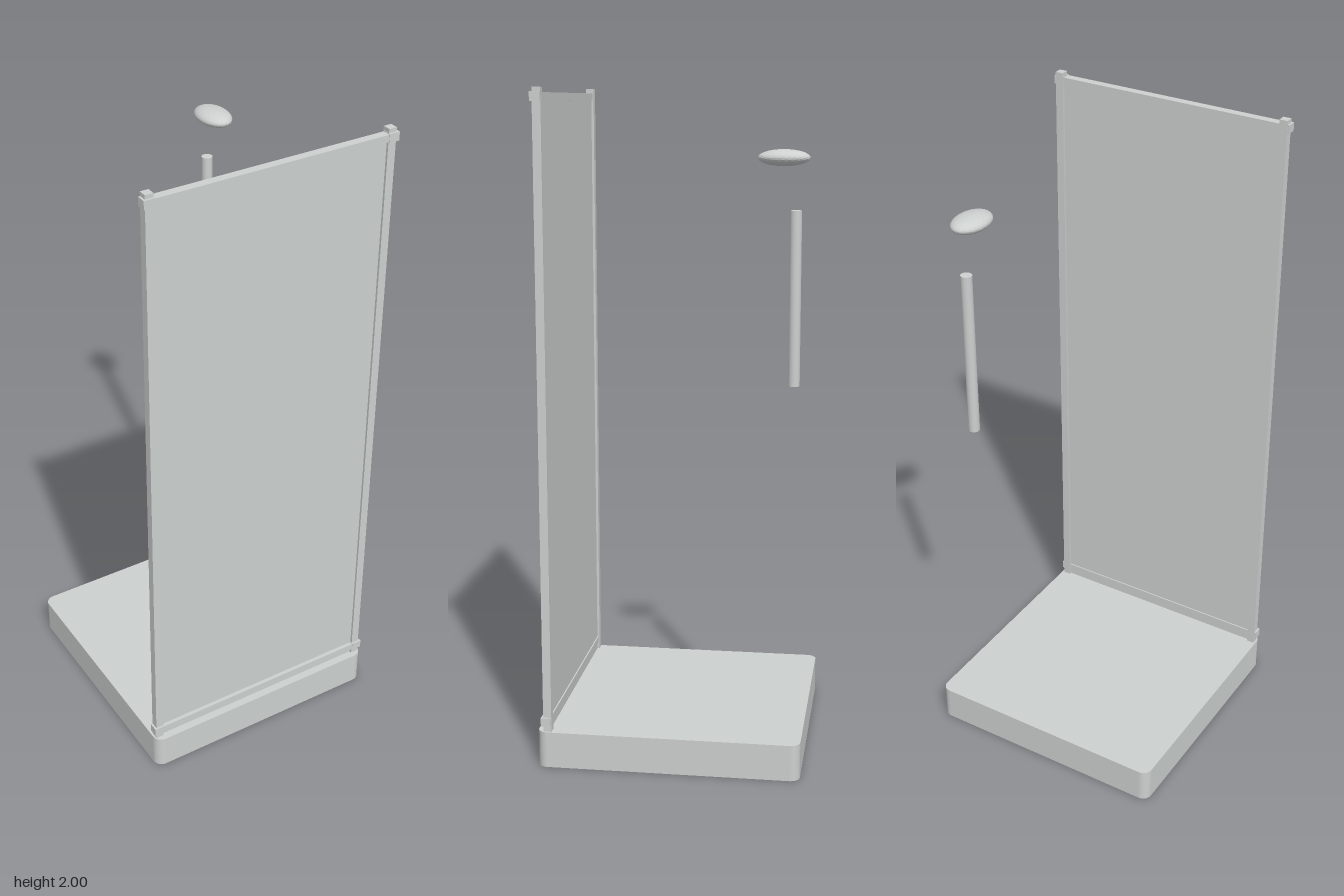
import * as THREE from 'three';

export function createModel() {
  const model = new THREE.Group();
  const grey = new THREE.MeshStandardMaterial({ color: 0xccd0ce });
  grey.name = 'pale grey';
  const facetedGrey = grey;

  const add = (name, geometry, x, y, z) => {
    const mesh = new THREE.Mesh(geometry, facetedGrey);
    mesh.name = name;
    mesh.position.set(x, y, z);
    model.add(mesh);
    return mesh;
  };

  // Tray with rounded upright corners
  const h = 0.393, r = 0.03;
  const outline = new THREE.Shape();
  [[h - r, h - r, 0], [r - h, h - r, 1], [r - h, r - h, 2], [h - r, r - h, 3]]
    .forEach(([x, y, q]) => outline.absarc(x, y, r, q * Math.PI / 2, (q + 1) * Math.PI / 2));
  const tray = new THREE.ExtrudeGeometry(outline, { depth: 0.11, bevelEnabled: false, curveSegments: 8 });
  tray.rotateX(-Math.PI / 2);
  add('tray', tray, 0, 0, 0);

  // Screen panel, set between the posts
  const zScreen = 0.363;
  add('screenPanel', new THREE.BoxGeometry(0.74, 1.87, 0.01), 0, 1.045, zScreen);

  // Corner posts
  for (const side of [-1, 1]) {
    add(side > 0 ? 'leftPost' : 'rightPost',
      new THREE.BoxGeometry(0.025, 1.89, 0.025), side * 0.374, 1.055, zScreen);
  }

  // Horizontal rails with a clamp block at each end
  for (const [name, y] of [['bottom', 0.141], ['top', 1.975]]) {
    add(name + 'Rail', new THREE.BoxGeometry(0.74, 0.022, 0.026), 0, y, 0.367);
    for (const side of [-1, 1]) {
      add(name + (side > 0 ? 'LeftClamp' : 'RightClamp'),
        new THREE.BoxGeometry(0.033, 0.026, 0.029), side * 0.3765, y, 0.367);
    }
  }

  // Shower column and flattened head
  add('column', new THREE.CylinderGeometry(0.017, 0.017, 0.505, 24), 0.236, 1.405, -0.35);
  const head = new THREE.IcosahedronGeometry(1, 4);
  head.scale(0.05, 0.024, 0.075);
  head.computeVertexNormals();
  add('showerHead', head, 0.235, 1.805, -0.314);

  return model;
}
